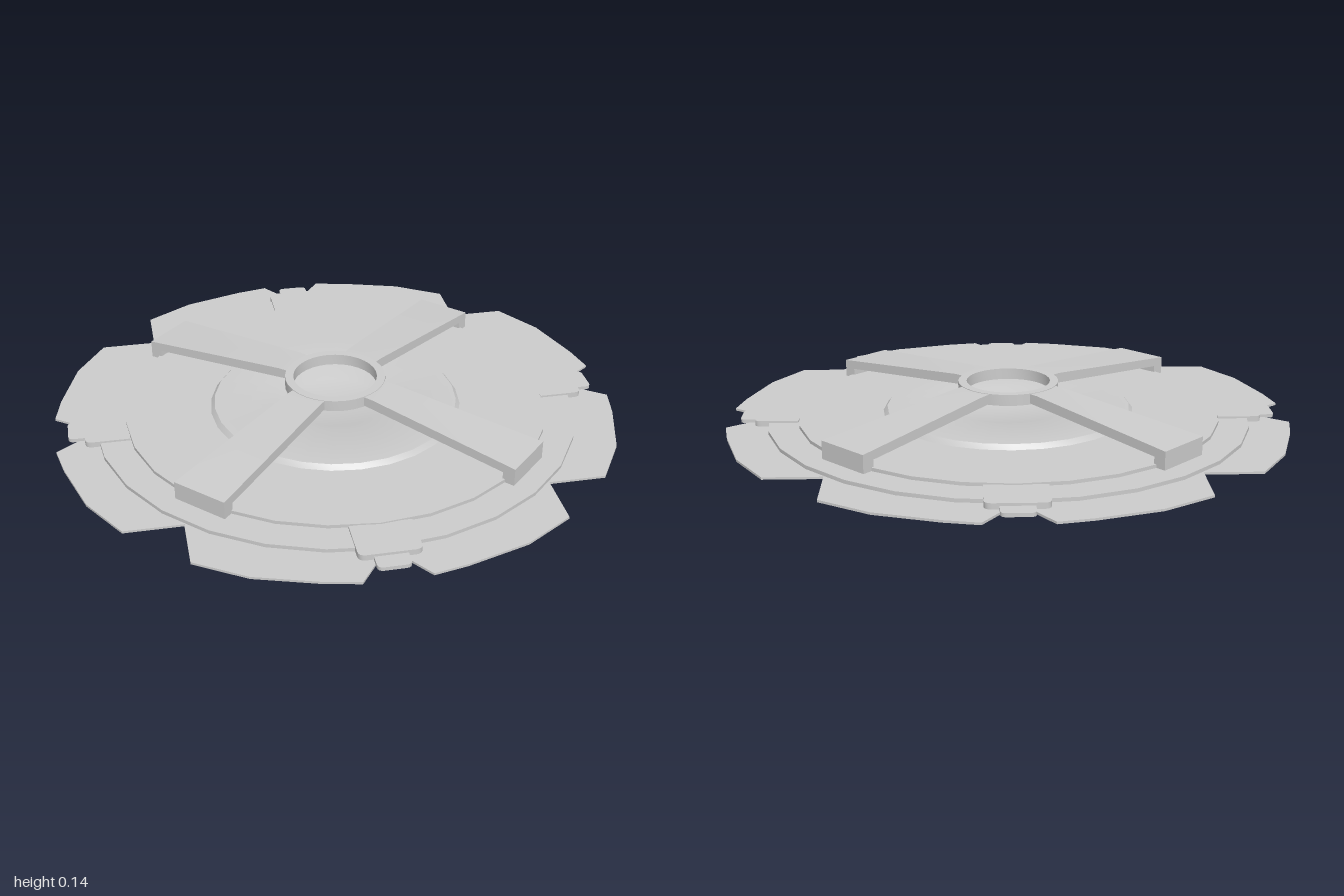
import * as THREE from 'three';
import { toCreasedNormals } from 'three/addons/utils/BufferGeometryUtils.js';

const SIDES = 28;

export function createModel() {
  const model = new THREE.Group();
  const material = new THREE.MeshStandardMaterial({ color: 0xcccccc });

  function add(name, geometry, parent = model) {
    const mesh = new THREE.Mesh(toCreasedNormals(geometry, 0.5), material);
    mesh.name = name;
    parent.add(mesh);
    return mesh;
  }

  // Flat slab lying on the ground plane between two heights
  function slab(shape, y0, y1, curveSegments = 4) {
    const g = new THREE.ExtrudeGeometry(shape, { depth: y1 - y0, bevelEnabled: false, curveSegments });
    return g.rotateX(-Math.PI / 2).translate(0, y0, 0);
  }

  function lathe(points, sides) {
    return new THREE.LatheGeometry(points.map(([r, y]) => new THREE.Vector2(r, y)), sides);
  }

  // Rectangle with rounded outer corners, pointing along +y of the shape
  function tabShape(half, start, end, r) {
    const s = new THREE.Shape();
    s.moveTo(-half, start);
    s.lineTo(half, start);
    s.lineTo(half, end - r);
    s.quadraticCurveTo(half, end, half - r, end);
    s.lineTo(-half + r, end);
    s.quadraticCurveTo(-half, end, -half, end - r);
    s.closePath();
    return s;
  }

  // Outer plate: one quarter outline, turned four times, notched on axes and diagonals
  const quarter = [
    [1.0, 0.11], [0.977, 0.225], [0.91, 0.44], [0.805, 0.608], [0.608, 0.608],
    [0.608, 0.805], [0.44, 0.91], [0.225, 0.977], [0.11, 1.0], [0.02, 0.875], [-0.02, 0.875],
  ];
  const outline = [];
  for (let q = 0; q < 4; q++) {
    const turn = q * Math.PI / 2;
    for (const [x, y] of quarter) outline.push(new THREE.Vector2(x, y).rotateAround(new THREE.Vector2(), turn));
  }
  const plate = new THREE.Shape(outline);
  const opening = [];
  for (let i = 0; i < SIDES; i++) {
    const a = -i * 2 * Math.PI / SIDES;
    opening.push(new THREE.Vector2(0.85 * Math.cos(a), 0.85 * Math.sin(a)));
  }
  plate.holes.push(new THREE.Path(opening));
  add('outerPlate', slab(plate, 0, 0.008));

  // Stepped disc: ring, disc, raised centre and a dished middle, hollow below
  add('steppedDisc', lathe([
    [0, 0.018], [0.165, 0.018], [0.22, 0.036], [0.43, 0.036], [0.43, 0.012],
    [0.745, 0.012], [0.745, 0.006], [0.86, 0.006], [0.86, 0.021],
    [0.753, 0.021], [0.753, 0.033], [0.45, 0.033], [0.436, 0.05],
    [0.22, 0.05], [0.165, 0.028], [0, 0.028],
  ], SIDES));

  // Four tabs on the axes, each with a smaller end tab
  for (let i = 0; i < 4; i++) {
    const group = new THREE.Group();
    group.name = 'edgeTab';
    group.rotation.y = i * Math.PI / 2;
    add('tab', slab(tabShape(0.103, 0.745, 0.9, 0.025), 0.008, 0.028), group);
    add('endTab', slab(tabShape(0.055, 0.88, 0.957, 0.02), 0.006, 0.019), group);
    model.add(group);
  }

  // Four diagonal arms: side profile extruded, then widened toward the rim
  const side = new THREE.Shape([
    [0.16, 0.105], [0.735, 0.057], [0.735, 0.012], [0.78, 0.012], [0.78, 0.085], [0.2, 0.138], [0.16, 0.138],
  ].map(([x, y]) => new THREE.Vector2(x, y)));
  for (let i = 0; i < 4; i++) {
    const g = new THREE.ExtrudeGeometry(side, { depth: 2, bevelEnabled: false }).translate(0, 0, -1);
    const p = g.attributes.position;
    for (let v = 0; v < p.count; v++) {
      const half = THREE.MathUtils.mapLinear(p.getX(v), 0.18, 0.78, 0.068, 0.102);
      p.setZ(v, p.getZ(v) * half);
    }
    add('arm', g).rotation.y = Math.PI / 4 + i * Math.PI / 2;
  }

  // Open hub joining the arms
  add('hub', lathe([
    [0.15, 0.14], [0.15, 0.1], [0.18, 0.1], [0.18, 0.14], [0.15, 0.14],
  ], 32));

  return model;
}
